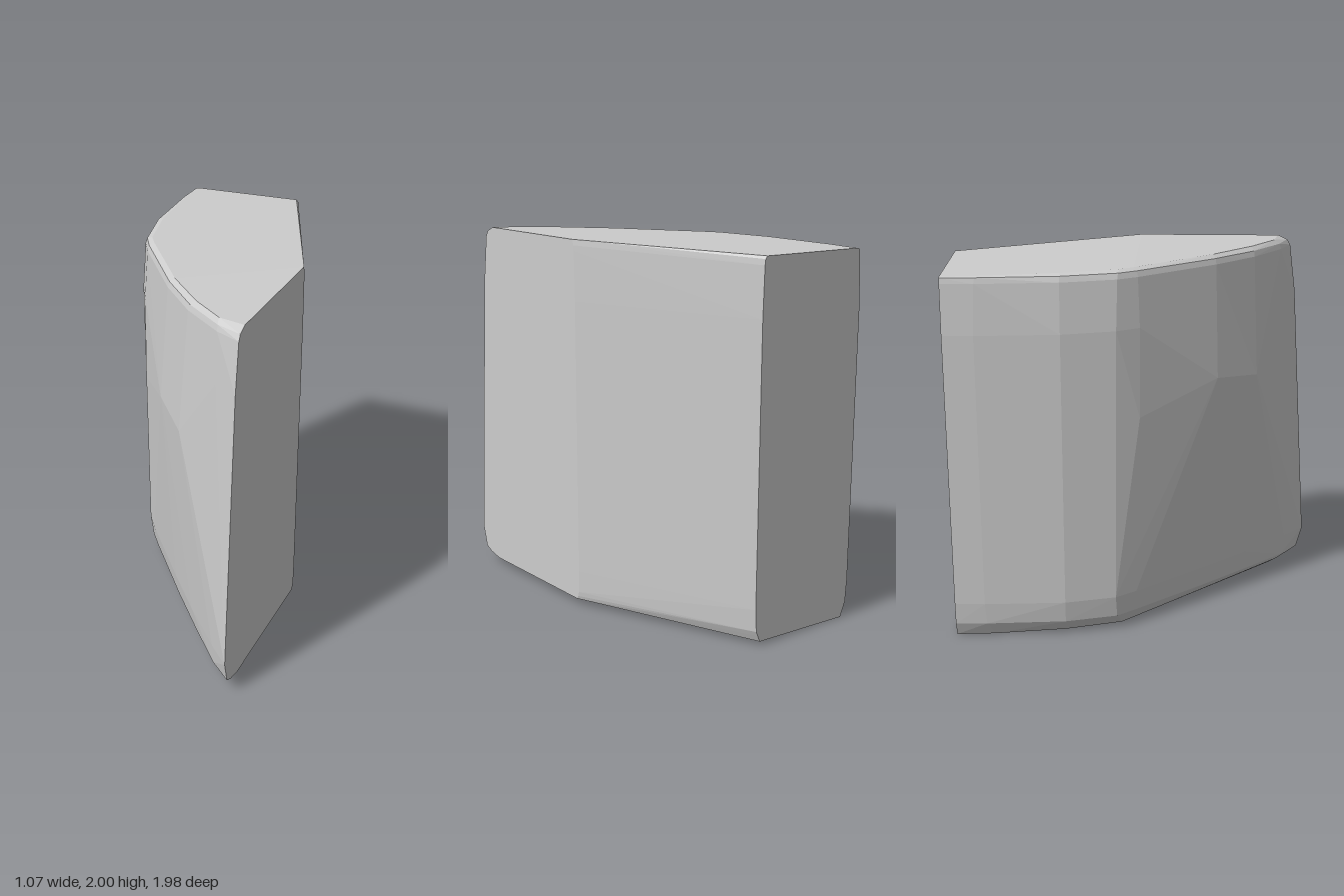
import * as THREE from 'three';
import { ConvexGeometry } from 'three/addons/geometries/ConvexGeometry.js';

// Plan outline, going round from the back corner: [x, z] low on the wall,
// [x, z] high on the wall, [x, z] on the rim of the top face.
const OUTLINE = [
  [-0.515, -0.99, -0.53, -0.99, -0.5, -0.99],
  [-0.518, -0.83, -0.533, -0.83, -0.495, -0.8],
  [-0.5, -0.4, -0.51, -0.4, -0.45, -0.4],
  [-0.435, -0.13, -0.44, -0.12, -0.37, -0.1],
  [-0.355, -0.02, -0.37, 0, -0.325, -0.03],
  [-0.03, 0.375, -0.055, 0.41, -0.005, 0.39],
  [0.175, 0.615, 0.155, 0.63, 0.21, 0.61],
  [0.41, 0.87, 0.4, 0.81, 0.39, 0.75],
  [0.533, 0.99, 0.533, 0.89, 0.533, 0.785],
  [0.533, 0, 0.533, 0, 0.533, 0.015],
  [0.145, -0.99, 0.138, -0.99, 0.115, -0.99],
];

// Widest corners of the curved wall, part of the way up: [x, y, z]
const BULGE = [
  [-0.375, 1.2, 0],
  [-0.08, 1.33, 0.42],
  [0.13, 1.29, 0.65],
];

// Gently tilted underside and crowned top
const floorY = (x) => 0.017 + 0.036 * x;
const topY = (x, z) => 1.99 + 0.018 * x - 0.008 * z * z;

export function createModel() {
  const group = new THREE.Group();
  group.name = 'stoneBlock';
  const stone = new THREE.MeshStandardMaterial({ color: 0xcccccc });
  stone.name = 'grey stone';

  const points = BULGE.map((p) => new THREE.Vector3(...p));
  const add = (x, y, z) => points.push(new THREE.Vector3(x, y, z));
  for (const [bx, bz, ux, uz, rx, rz] of OUTLINE) {
    const dx = rx - ux, dz = rz - uz;
    // rounded bottom edge
    const fx = bx + dx * 1.4, fz = bz + dz * 1.6;
    add(fx, floorY(fx), fz);
    add(bx + dx * 0.75, 0.055, bz + dz * 0.75);
    add(bx + dx * 0.3, 0.08, bz + dz * 0.3);
    // leaning wall
    add(bx, 0.2, bz);
    add(ux, 1.68, uz);
    // rounded top edge
    add(ux + dx * 0.33, 1.94, uz + dz * 0.33);
    add(ux + dx * 0.5, 1.97, uz + dz * 0.5);
    add(rx, topY(rx, rz), rz);
  }

  const block = new THREE.Mesh(new ConvexGeometry(points), stone);
  block.name = 'chiselledBlock';
  group.add(block);
  return group;
}
